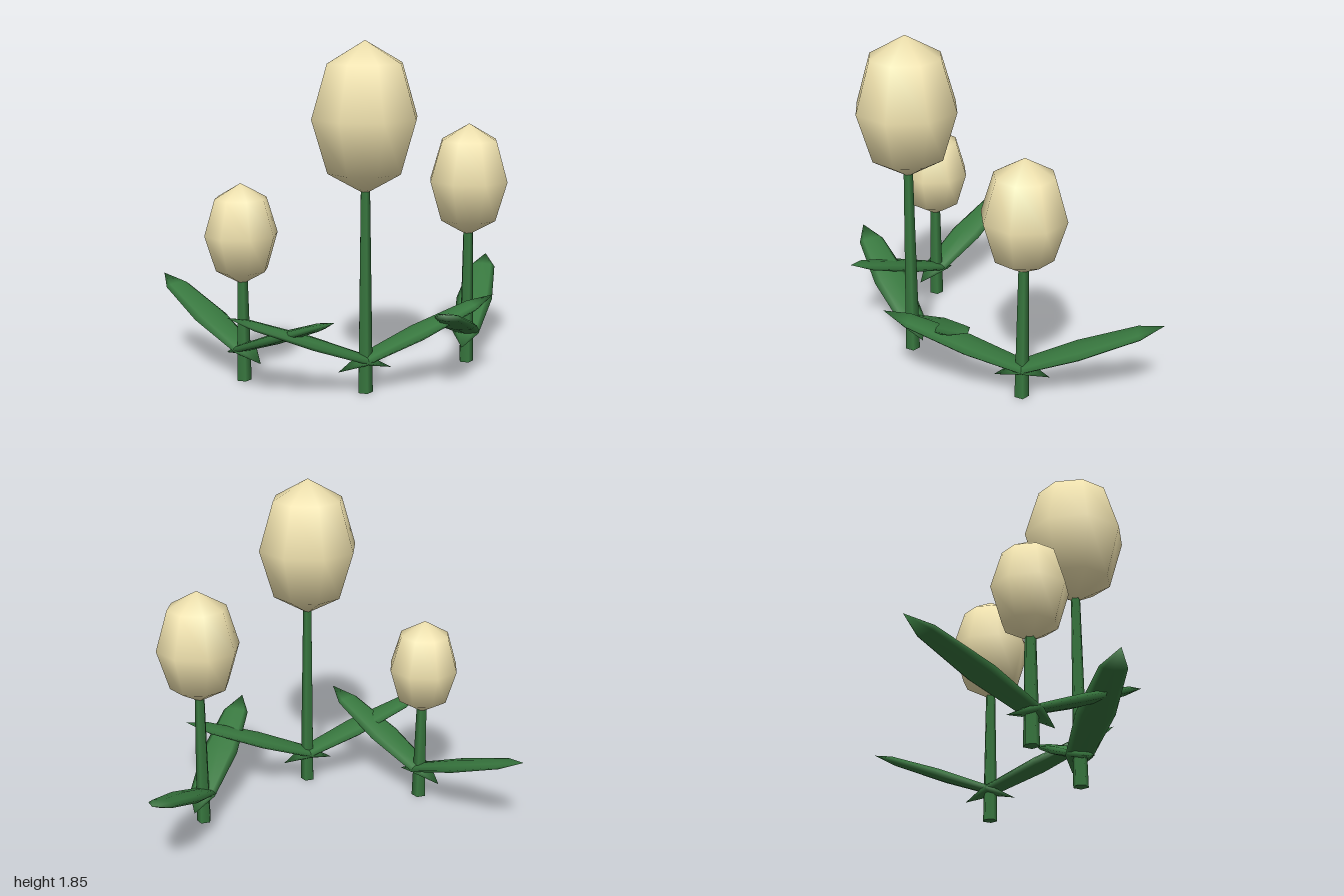
import * as THREE from 'three';

const petalMat = new THREE.MeshStandardMaterial({ color: 0xf2e4b0 });
const greenMat = new THREE.MeshStandardMaterial({ color: 0x38783f });

// Flattened spindle leaf, tilted upward along +x and passing through the stem
const LEAF_TILT = Math.atan2(0.35, 0.885);
const leafGeo = new THREE.SphereGeometry(1, 8, 4)
  .scale(0.03, 0.475, 0.105)
  .rotateZ(LEAF_TILT - Math.PI / 2)
  .translate(0.293, 0.295, 0);

function createFlower({ x, z, bloomY, bloomR, bloomH, stemTop, leafAngle }) {
  const flower = new THREE.Group();
  flower.name = 'flower';
  flower.position.set(x, 0, z);

  // Tapered five-sided stem, ending just inside the bloom
  const h = bloomY - bloomH + 0.04;
  const stem = new THREE.Mesh(new THREE.CylinderGeometry(stemTop, 0.042, h, 5), greenMat);
  stem.name = 'stem';
  stem.position.y = h / 2;
  flower.add(stem);

  // Egg-shaped bloom
  const bloom = new THREE.Mesh(
    new THREE.SphereGeometry(1, 8, 4).scale(bloomR, bloomH, bloomR), petalMat);
  bloom.name = 'bloom';
  bloom.position.y = bloomY;
  flower.add(bloom);

  // Two opposite leaves crossing at the stem
  for (const turn of [0, Math.PI]) {
    const leaf = new THREE.Mesh(leafGeo, greenMat);
    leaf.name = 'leaf';
    leaf.rotation.y = leafAngle + turn;
    flower.add(leaf);
  }
  return flower;
}

export function createModel() {
  const model = new THREE.Group();
  model.name = 'flowers';
  const flowers = [
    { x: -0.12, z: 0.385, bloomY: 1.453, bloomR: 0.285, bloomH: 0.392, stemTop: 0.026, leafAngle: 0 },
    { x: 0.6, z: 0.063, bloomY: 1.05, bloomR: 0.229, bloomH: 0.315, stemTop: 0.028, leafAngle: Math.atan2(0.615, 0.395) },
    { x: -0.68, z: -0.018, bloomY: 0.81, bloomR: 0.2, bloomH: 0.275, stemTop: 0.03, leafAngle: Math.atan2(0.665, -0.31) },
  ];
  for (const f of flowers) model.add(createFlower(f));
  return model;
}
